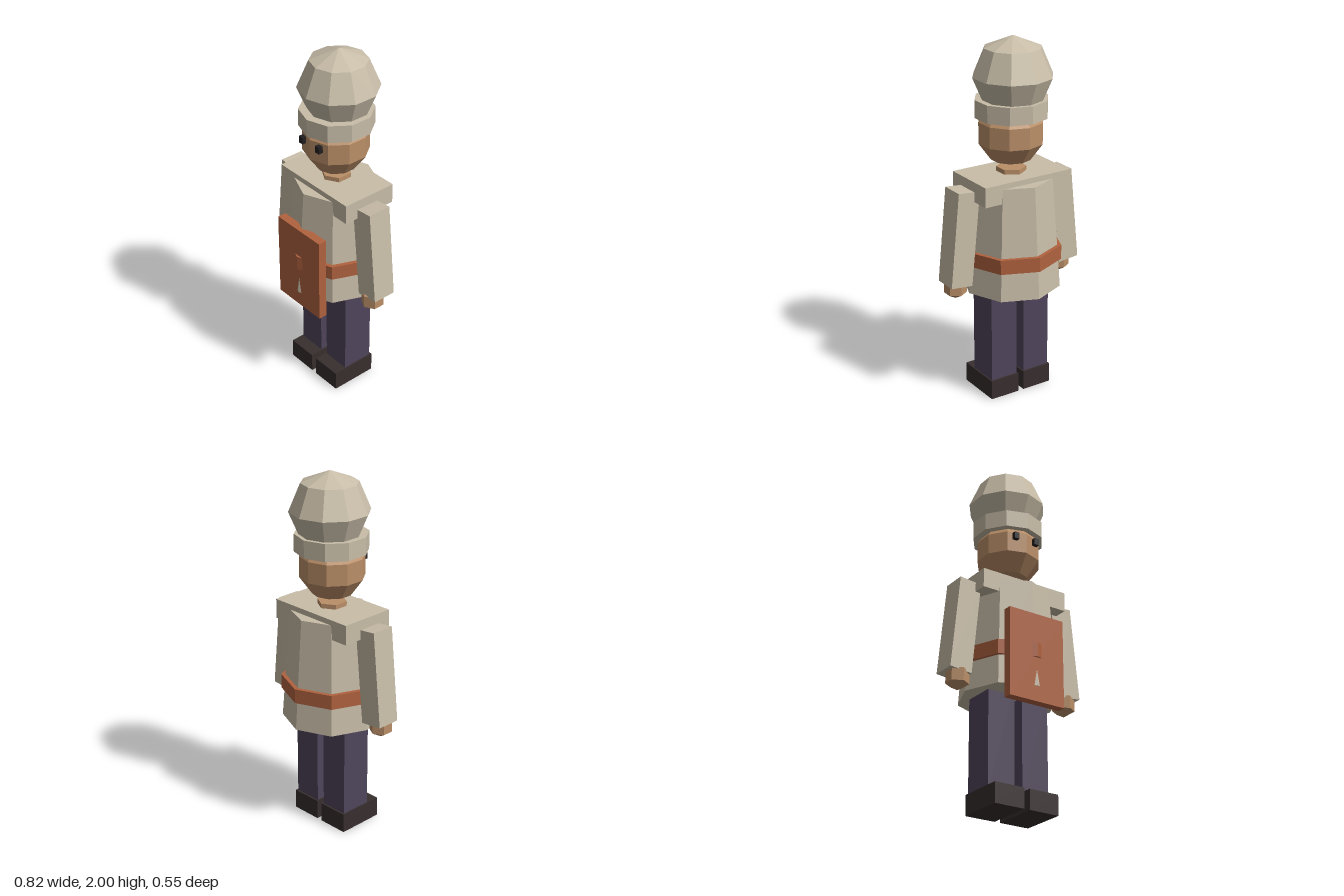
import * as THREE from 'three';

function material(name, color) {
  const m = new THREE.MeshStandardMaterial({ color, flatShading: true });
  m.name = name;
  return m;
}

export function createModel() {
  const model = new THREE.Group();
  model.name = 'figure';
  const cream = material('cream cloth', 0xc8bda8);
  const rust = material('rust leather', 0xb0623f);
  const skin = material('skin', 0xbb8f68);
  const purple = material('purple trousers', 0x4f455b);
  const brown = material('dark shoes', 0x382e2e);
  const black = material('eye black', 0x241f20);

  const add = (name, geometry, mat, x, y, z, parent = model) => {
    const mesh = new THREE.Mesh(geometry, mat);
    mesh.name = name;
    mesh.position.set(x, y, z);
    parent.add(mesh);
    return mesh;
  };
  const box = (w, h, d) => new THREE.BoxGeometry(w, h, d);
  const prism = (rTop, rBottom, h, sides) => new THREE.CylinderGeometry(rTop, rBottom, h, sides);
  // Low-poly ball with one corner of its outline facing forward
  const ball = (r, ry, sides, rows) =>
    new THREE.SphereGeometry(r, sides, rows).rotateY(Math.PI / 2).scale(1, ry / r, 1);

  // Tunic, belt, shoulder yoke and apron
  add('tunic', prism(0.223, 0.269, 0.615, 8), cream, 0, 0.933, 0);
  add('belt', prism(0.274, 0.274, 0.08, 8), rust, 0, 0.825, 0);
  add('shoulders', box(0.524, 0.108, 0.318), cream, 0, 1.216, 0);
  add('apron', box(0.336, 0.49, 0.048), rust, 0, 0.786, 0.238);

  // Neck, head and hat
  add('neck', prism(0.08, 0.08, 0.1, 6), skin, 0, 1.245, 0);
  add('head', ball(0.184, 0.187, 10, 5), skin, 0, 1.49, 0.002);
  add('hatBand', prism(0.197, 0.197, 0.096, 10), cream, 0, 1.622, -0.003);
  add('hatCrown', ball(0.2145, 0.21, 10, 4), cream, 0, 1.79, -0.016);

  // Paired parts
  for (const side of [1, -1]) {
    const label = side > 0 ? 'left' : 'right';
    add(label + 'Eye', box(0.03, 0.038, 0.026), black, side * 0.064, 1.519, 0.17);
    const arm = add(label + 'Arm', box(0.128, 0.524, 0.134), cream, side * 0.318, 0.958, 0.015);
    arm.rotation.z = side * 0.1;
    add(label + 'Hand', ball(0.0705, 0.07, 6, 3), skin, side * 0.335, 0.672, 0.033);
    add(label + 'Leg', box(0.16, 0.6, 0.18), purple, side * 0.104, 0.38, 0.002);
    add(label + 'Shoe', box(0.175, 0.11, 0.266), brown, side * 0.104, 0.055, 0.034);
  }
  return model;
}
